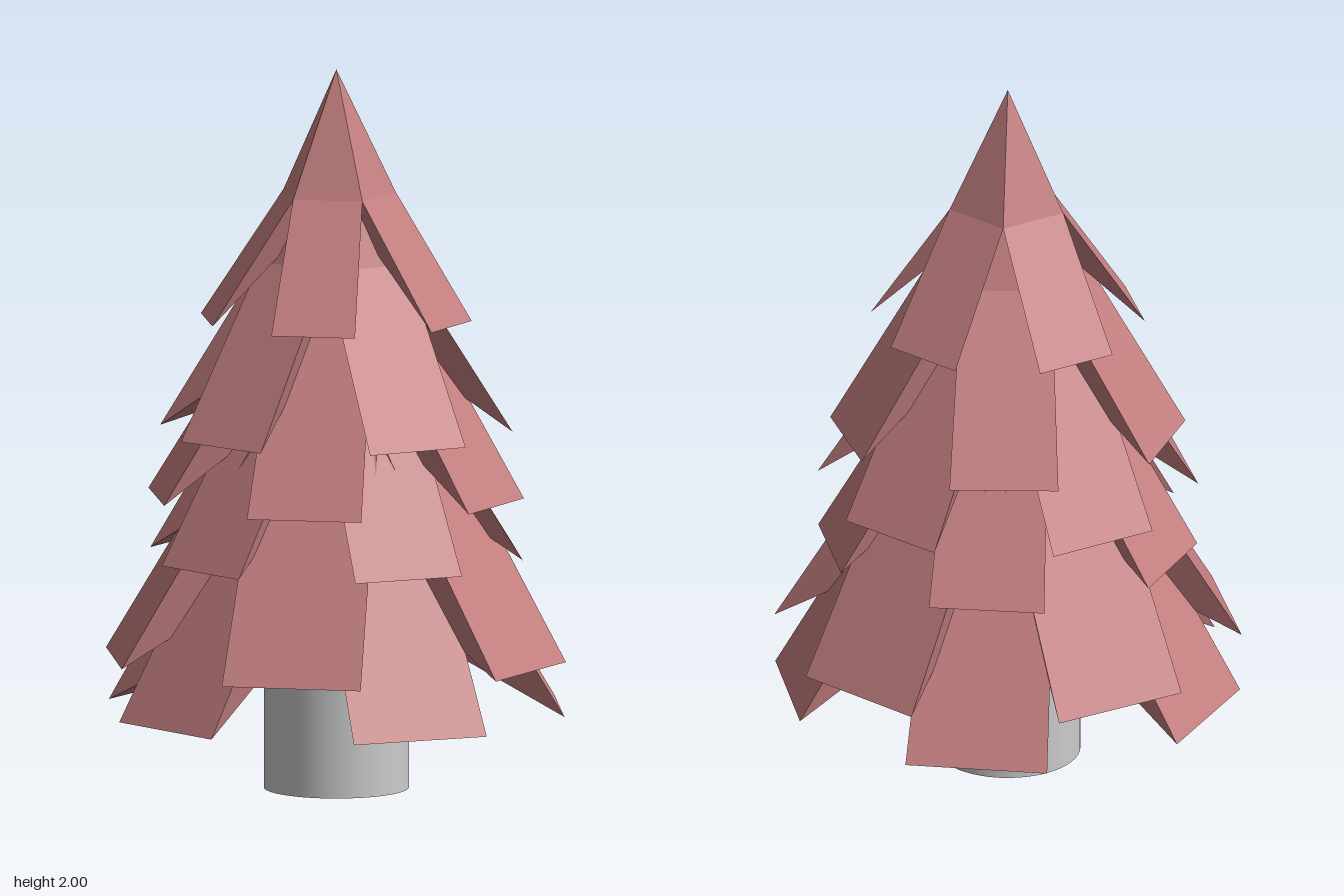
import * as THREE from 'three';

const SIDES = 5;

// One closed tier: a five-sided peak that splits into five spreading flaps,
// with a hollowed underside rising to a point on the axis.
function tierGeometry(bottom, reach, halfWidth, height, turn) {
  const at = (angle, out, side, y) => [
    out * Math.cos(angle) - side * Math.sin(angle), y,
    out * Math.sin(angle) + side * Math.cos(angle),
  ];
  const step = (Math.PI * 2) / SIDES;
  const neck = 0.458 * reach;
  const neckY = bottom + height / 2;
  const apex = [0, bottom + height, 0];
  const hollow = [0, bottom + 0.34, 0];
  const points = [];
  const tri = (a, b, c) => points.push(...a, ...b, ...c);

  for (let i = 0; i < SIDES; i++) {
    const a = THREE.MathUtils.degToRad(turn) + i * step;
    const neckA = at(a - step / 2, neck, 0, neckY);
    const neckB = at(a + step / 2, neck, 0, neckY);
    const cornerA = at(a, reach, -halfWidth, bottom);
    const cornerB = at(a, reach, halfWidth, bottom);
    tri(apex, neckB, neckA); // peak
    tri(neckA, neckB, cornerB); // flap
    tri(neckA, cornerB, cornerA);
    tri(hollow, cornerA, cornerB); // underside
    tri(cornerB, neckB, hollow); // side walls of the flap
    tri(cornerA, hollow, neckA);
  }
  const geometry = new THREE.BufferGeometry();
  geometry.setAttribute('position', new THREE.Float32BufferAttribute(points, 3));
  geometry.computeVertexNormals();
  return geometry;
}

export function createModel() {
  const tree = new THREE.Group();
  tree.name = 'tree';
  const foliage = new THREE.MeshStandardMaterial({ color: 0xc47f80, flatShading: true });
  const grey = new THREE.MeshStandardMaterial({ color: 0xcccccc });

  // Tiers: bottom height, reach, half width of flap, height, turn in degrees
  const tiers = [
    [1.31, 0.36, 0.117, 0.69, 270],
    [1.0, 0.465, 0.15, 0.94, 86.9],
    [0.82, 0.5, 0.16, 1.02, 270],
    [0.65, 0.5, 0.16, 1.02, 92.3],
    [0.37, 0.616, 0.195, 1.3, 271.4],
    [0.22, 0.615, 0.197, 1.3, 93.7],
  ];
  tiers.forEach((tier, i) => {
    const mesh = new THREE.Mesh(tierGeometry(...tier), foliage);
    mesh.name = `foliageTier${i + 1}`;
    tree.add(mesh);
  });

  // Trunk, open-ended, with a separate base disc
  const trunk = new THREE.Mesh(new THREE.CylinderGeometry(0.2, 0.2, 0.6, 48, 1, true), grey);
  trunk.name = 'trunk';
  trunk.position.y = 0.3;
  tree.add(trunk);

  const base = new THREE.Mesh(new THREE.CircleGeometry(0.2, 48), foliage);
  base.name = 'trunkBase';
  base.rotation.x = Math.PI / 2;
  tree.add(base);

  return tree;
}
